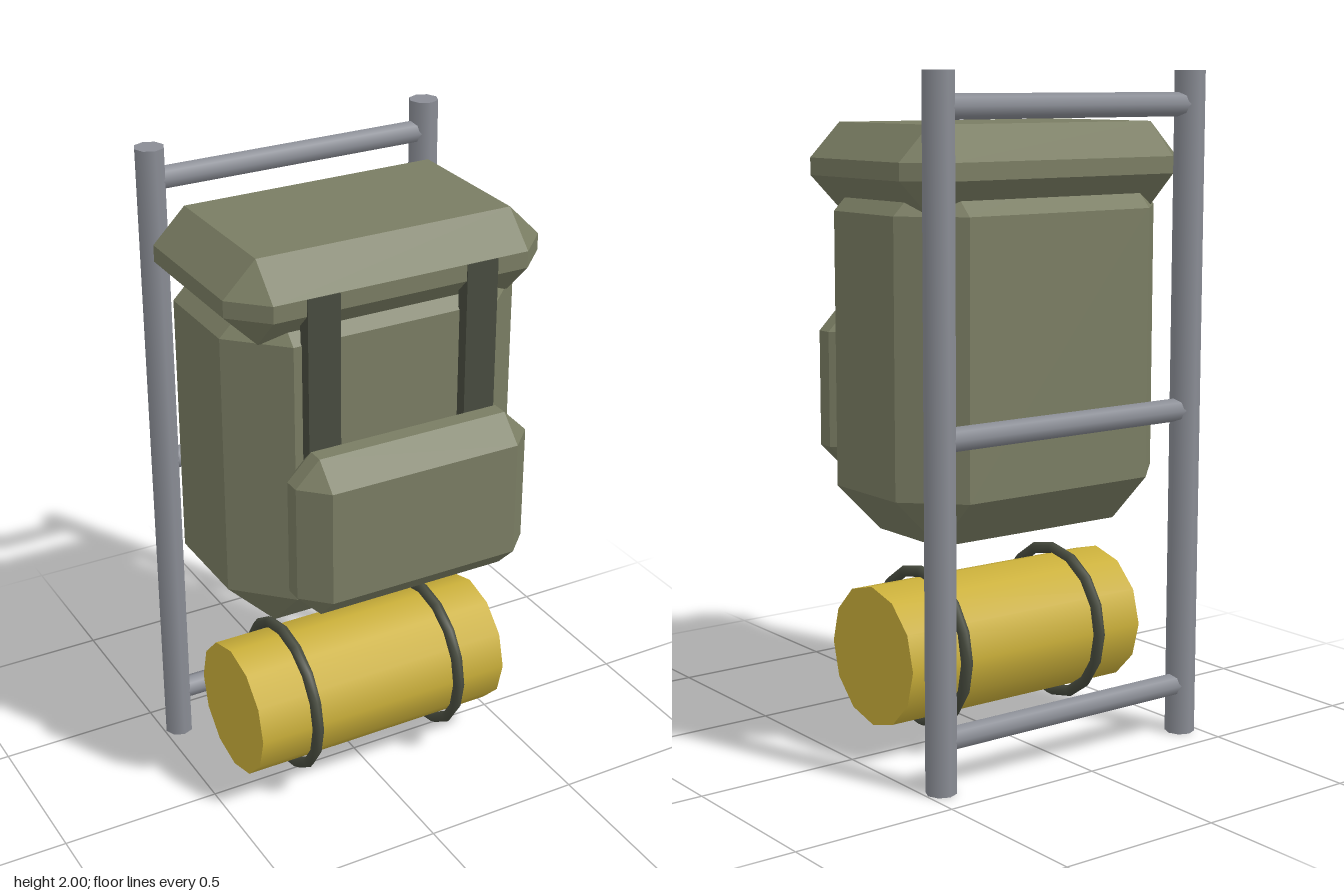
import * as THREE from 'three';
import { ConvexGeometry } from 'three/addons/geometries/ConvexGeometry.js';

// Box with every edge cut at 45 degrees by c
function chamferBox(w, h, d, c) {
  const half = [w / 2, h / 2, d / 2];
  const points = [];
  for (const sx of [-1, 1]) for (const sy of [-1, 1]) for (const sz of [-1, 1]) {
    for (let axis = 0; axis < 3; axis++) {
      const p = half.map((v, i) => (i === axis ? v : v - c));
      points.push(new THREE.Vector3(p[0] * sx, p[1] * sy, p[2] * sz));
    }
  }
  return new ConvexGeometry(points);
}

export function createModel() {
  const group = new THREE.Group();
  group.name = 'framePack';

  const mat = (name, color, flatShading = false) => {
    const m = new THREE.MeshStandardMaterial({ color, flatShading });
    m.name = name;
    return m;
  };
  const canvas = mat('oliveCanvas', 0x7a7d63, true);
  const webbing = mat('darkWebbing', 0x484c3f);
  const metal = mat('greyMetal', 0x8a8d95);
  const foam = mat('yellowFoam', 0xcbb03a);

  const add = (name, geometry, material, x, y, z) => {
    const mesh = new THREE.Mesh(geometry, material);
    mesh.name = name;
    mesh.position.set(x, y, z);
    group.add(mesh);
    return mesh;
  };

  // Canvas bag
  add('bagBody', chamferBox(0.95, 1.1, 0.6, 0.15), canvas, 0, 1.204, -0.05);
  add('topFlap', chamferBox(1.0, 0.25, 0.65, 0.1), canvas, 0, 1.728, -0.041);
  add('frontPocket', chamferBox(0.75, 0.5, 0.2, 0.075), canvas, 0, 1.052, 0.322);

  // Mirrored straps, bedroll ties and frame poles
  for (const [side, s] of [['left', 1], ['right', -1]]) {
    add(side + 'Strap', new THREE.BoxGeometry(0.1, 0.6, 0.045), webbing, s * 0.25, 1.453, 0.265);
    add(side + 'BedrollTie', new THREE.TorusGeometry(0.23, 0.0175, 6, 16), webbing, s * 0.25, 0.302, -0.002)
      .rotation.y = Math.PI / 2;
    add(side + 'FramePole', new THREE.CylinderGeometry(0.045, 0.045, 2, 8), metal, s * 0.45, 1, -0.38);
  }

  // Frame crossbars
  for (const y of [0.152, 1.002, 1.903]) {
    add('crossbar', new THREE.CylinderGeometry(0.035, 0.035, 0.9, 8), metal, 0, y, -0.38)
      .rotation.z = Math.PI / 2;
  }

  // Bedroll
  add('bedroll', new THREE.CylinderGeometry(0.21, 0.21, 0.854, 12), foam, 0, 0.302, -0.002)
    .rotation.z = Math.PI / 2;

  return group;
}
